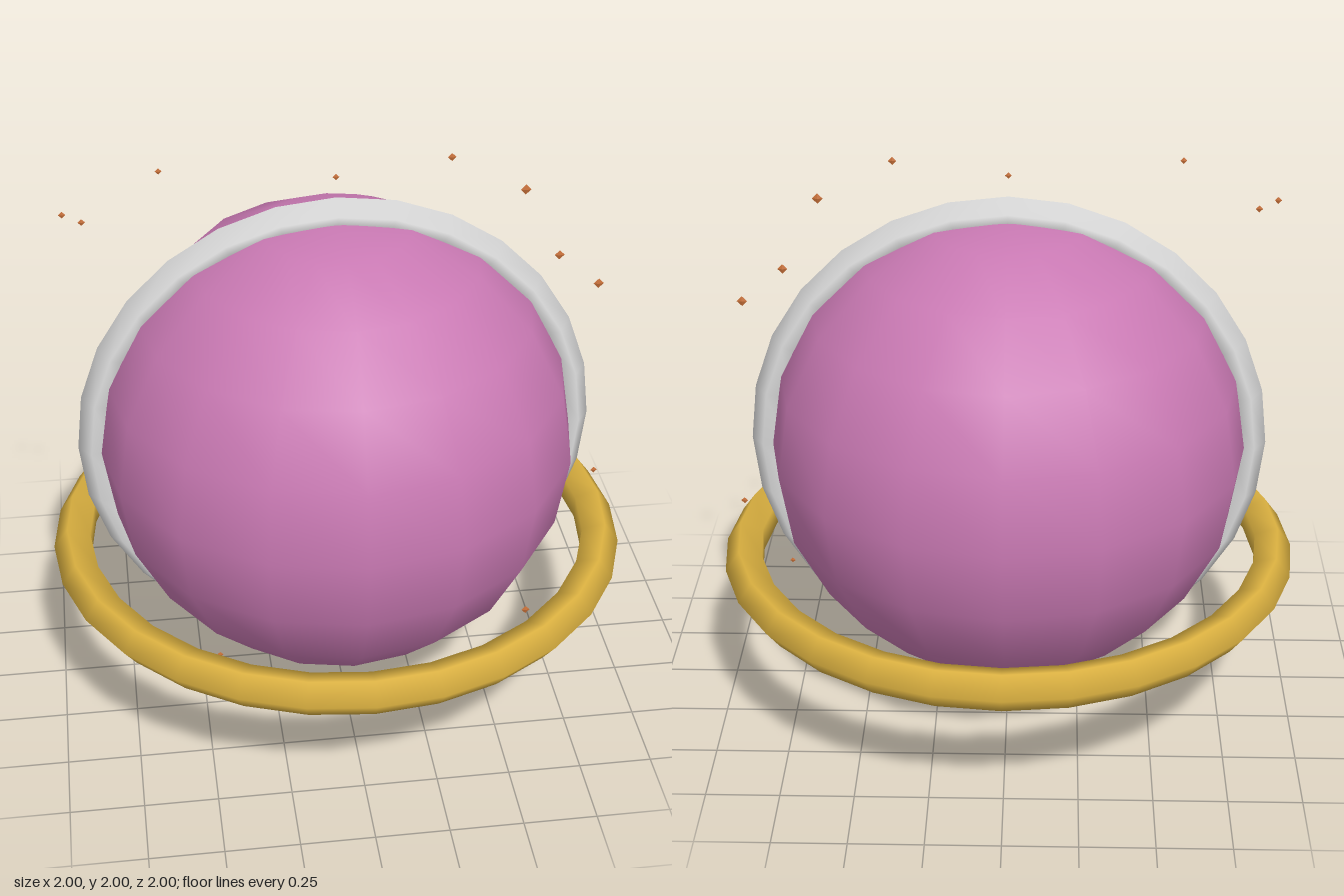
import * as THREE from 'three';

export function createModel() {
  const model = new THREE.Group();
  model.name = 'ringedPlanet';

  const material = (name, color) => {
    const m = new THREE.MeshStandardMaterial({ color });
    m.name = name;
    return m;
  };
  const pink = material('pink', 0xc979b3);
  const silver = material('silver', 0xdcdcdc);
  const gold = material('gold', 0xdab040);
  const copper = material('copper', 0xc87038);

  const add = (name, geometry, mat, x, y, z) => {
    const mesh = new THREE.Mesh(geometry, mat);
    mesh.name = name;
    mesh.position.set(x, y, z);
    model.add(mesh);
    return mesh;
  };

  // Planet globe
  add('planet', new THREE.SphereGeometry(0.82, 16, 10), pink, 0, 0.97, 0);

  // Upright ring hugging the globe
  add('uprightRing', new THREE.TorusGeometry(0.825, 0.063, 5, 28), silver, 0, 0.97, 0);

  // Level ring around the lower half
  const levelRing = add('levelRing', new THREE.TorusGeometry(0.929, 0.071, 5, 28), gold, 0, 0.56, 0);
  levelRing.rotation.x = Math.PI / 2;

  // Scattered sparks, each a thin diamond: x, y, radius
  const sparks = [
    [-0.567, 1.985, 0.011], [-0.88, 1.852, 0.012], [-0.82, 1.822, 0.012],
    [0, 1.93, 0.011], [0.377, 1.977, 0.014], [0.626, 1.846, 0.018],
    [0.753, 1.597, 0.017], [0.895, 1.479, 0.018], [0.931, 0.717, 0.012],
    [0.772, 0.475, 0.01], [0.714, 0.106, 0.016], [-0.432, 0.013, 0.012],
  ];
  for (const [x, y, r] of sparks) {
    const spark = add('spark', new THREE.OctahedronGeometry(r), copper, x, y, 0);
    spark.scale.z = 0.25;
  }

  return model;
}
